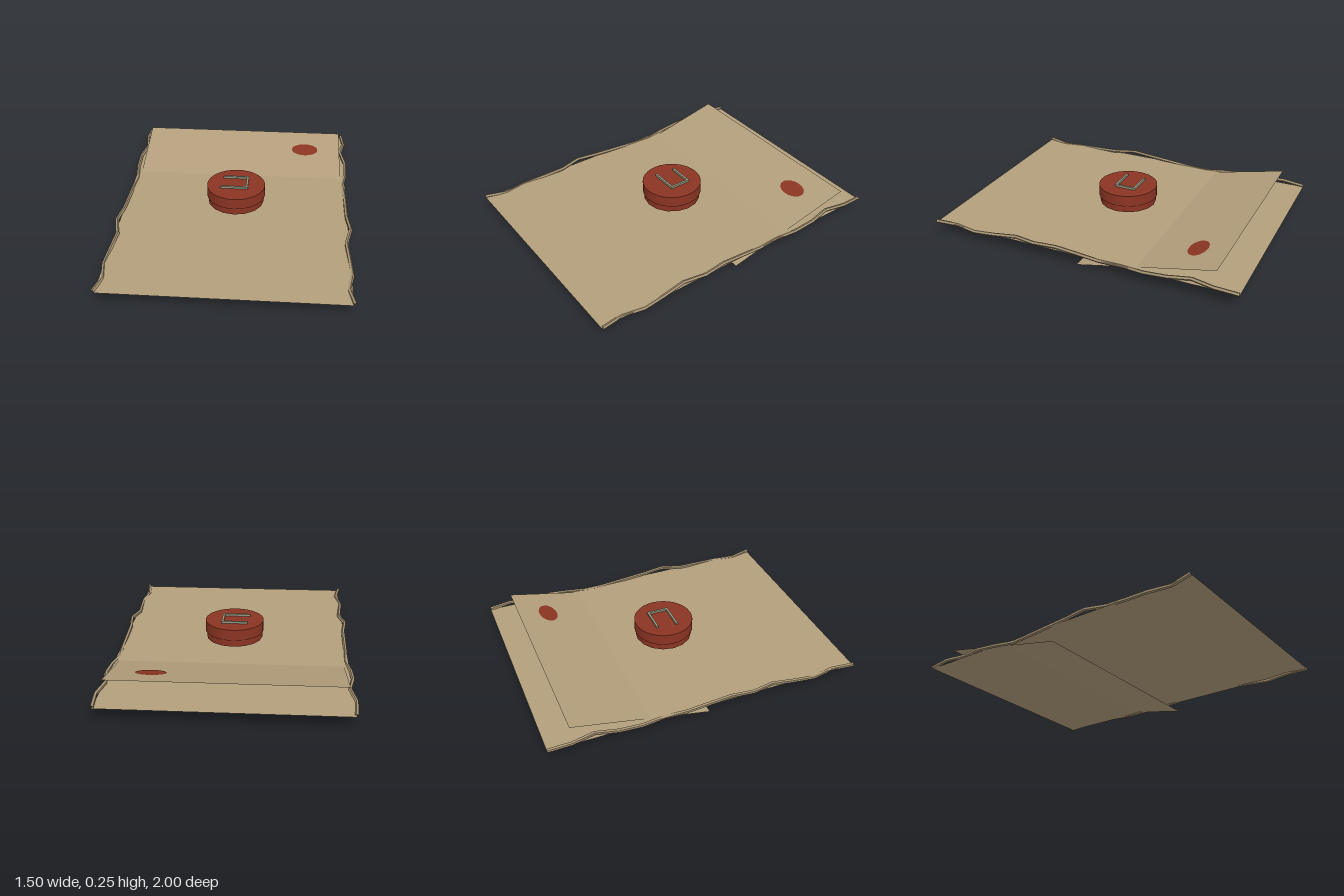
import * as THREE from 'three';

export function createModel() {
  const model = new THREE.Group();
  const mat = (name, color, extra = {}) => {
    const m = new THREE.MeshStandardMaterial({ color, ...extra });
    m.name = name;
    return m;
  };
  const parchment = mat('parchment', 0xb39f7c, { side: THREE.DoubleSide });
  const edging = mat('worn edge', 0xa59272, { flatShading: true });
  const wax = mat('red wax', 0x8b3422, { flatShading: true });
  const metal = mat('grey green', 0x94937c);

  const add = (name, geometry, material, x, y, z, parent = model) => {
    const mesh = new THREE.Mesh(geometry, material);
    mesh.name = name;
    mesh.position.set(x, y, z);
    parent.add(mesh);
    return mesh;
  };

  // Main sheet
  const sheetY = 0.085;
  add('sheet', new THREE.PlaneGeometry(1.46, 2).rotateX(-Math.PI / 2), parchment, 0, sheetY, 0);

  // Tilted flap crossing the sheet, with a wax spot lying on it
  const zBack = -0.855, zFront = 0.02, rise = 0.19;
  const depth = zFront - zBack;
  const flap = new THREE.Group();
  flap.name = 'flap';
  flap.position.set(0, rise / 2, (zBack + zFront) / 2);
  flap.rotation.x = Math.atan2(rise, depth);
  model.add(flap);
  add('flapSheet', new THREE.PlaneGeometry(1.4, Math.hypot(rise, depth)).rotateX(-Math.PI / 2),
    parchment, 0, 0, 0, flap);
  add('waxSpot', new THREE.CircleGeometry(0.093, 20).scale(1, 0.66, 1).rotateX(-Math.PI / 2),
    wax, 0.45, 0.003, -0.248, flap);

  // Frayed edges: wavering in x, rolling gently in y
  const waver = [0.728, 0.738, 0.71, 0.738, 0.735, 0.712, 0.722, 0.722,
    0.722, 0.742, 0.71, 0.724, 0.735, 0.71, 0.738];
  for (const side of [-1, 1]) {
    const path = new THREE.CurvePath();
    const points = waver.map((x, i) => {
      const z = -1 + i / 7;
      return new THREE.Vector3(side * x, 0.092 + 0.015 * Math.sin(2 * Math.PI * z), z);
    });
    for (let i = 1; i < points.length; i++) path.add(new THREE.LineCurve3(points[i - 1], points[i]));
    add(side > 0 ? 'leftEdge' : 'rightEdge',
      new THREE.TubeGeometry(path, 28, 0.012, 5, false), edging, 0, 0, 0);
  }

  // Wax seal: faceted base and wider cap
  add('sealBase', new THREE.CylinderGeometry(0.183, 0.183, 0.075, 16), wax, 0, 0.1525, 0);
  add('sealCap', new THREE.CylinderGeometry(0.19, 0.19, 0.072, 32), wax, 0, 0.196, 0);

  // Raised bracket of three bars on the seal
  const bar = (name, w, d, x, z) =>
    add(name, new THREE.BoxGeometry(w, 0.014, d), metal, x, 0.241, z);
  bar('bracketBackBar', 0.165, 0.014, -0.006, -0.076);
  bar('bracketFrontBar', 0.178, 0.014, -0.013, 0.053);
  bar('bracketEndBar', 0.014, 0.143, 0.073, -0.0115);

  return model;
}
